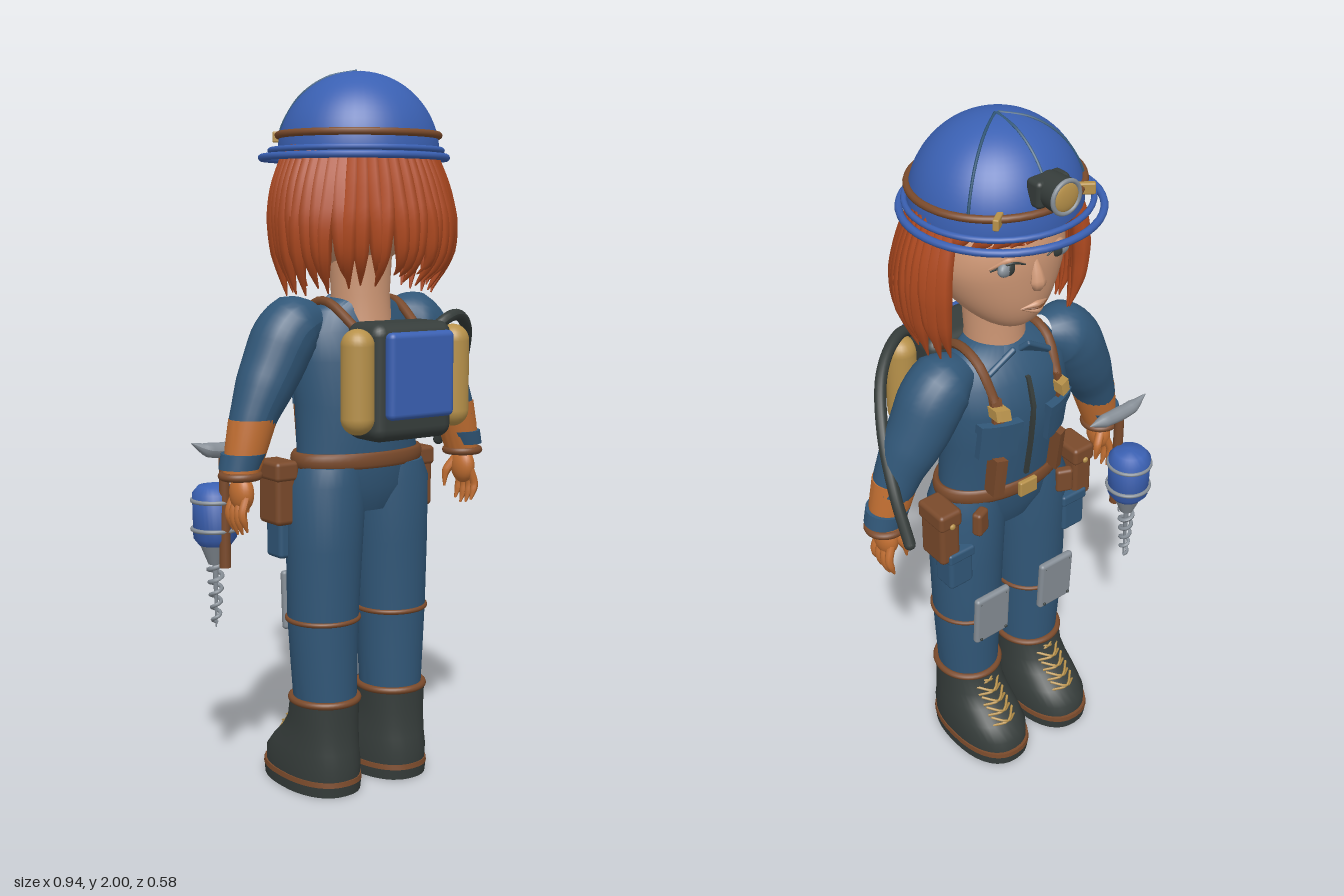
import * as THREE from 'three';
import { toCreasedNormals } from 'three/addons/utils/BufferGeometryUtils.js';
import { RoundedBoxGeometry } from 'three/addons/geometries/RoundedBoxGeometry.js';

const mat = (name, color) => {
  const m = new THREE.MeshStandardMaterial({ color });
  m.name = name;
  return m;
};
const M = {
  helmet: mat('helmetBlue', 0x3a60b2), suit: mat('suitBlue', 0x315778), hair: mat('copperHair', 0xb04a20),
  skin: mat('skin', 0xcd9674), rubber: mat('darkRubber', 0x363d3b), leather: mat('leather', 0x7a4a2b),
  brass: mat('brass', 0xb7914a), glove: mat('gloveOrange', 0xc26f32), metal: mat('metal', 0x868e96),
};
const V = (p) => new THREE.Vector3(...p);
const SIDES = [-1, 1];

// Stack of ellipses, each [y, centreX, centreZ, radiusX, radiusZ], capped at both ends
function loft(sections, n = 32, power = 2) {
  const pos = [], idx = [];
  const bend = (v) => Math.sign(v) * Math.abs(v) ** (2 / power);
  for (const [y, cx, cz, rx, rz] of sections)
    for (let j = 0; j < n; j++) {
      const a = (j / n) * Math.PI * 2;
      pos.push(cx + bend(Math.cos(a)) * rx, y, cz + bend(Math.sin(a)) * rz);
    }
  const last = sections.length - 1, c = sections.length * n;
  for (const s of [sections[0], sections[last]]) pos.push(s[1], s[0], s[2]);
  for (let j = 0; j < n; j++) {
    const k = (j + 1) % n;
    for (let i = 0; i < last; i++) {
      const a = i * n + j, d = i * n + k;
      idx.push(a, a + n, d + n, a, d + n, d);
    }
    idx.push(c, j, k, c + 1, last * n + k, last * n + j);
  }
  const g = new THREE.BufferGeometry();
  g.setAttribute('position', new THREE.Float32BufferAttribute(pos, 3));
  g.setIndex(idx);
  return toCreasedNormals(g, 0.8);
}

// Tube along a curve whose radius follows a list of values
function taper(points, radii, seg = 14, radial = 8) {
  const curve = new THREE.CatmullRomCurve3(points.map(V));
  const g = new THREE.TubeGeometry(curve, seg, 1, radial);
  const p = g.attributes.position, v = new THREE.Vector3();
  for (let i = 0; i <= seg; i++) {
    const c = curve.getPointAt(i / seg), t = (i / seg) * (radii.length - 1), k = Math.min(Math.floor(t), radii.length - 2);
    const r = THREE.MathUtils.lerp(radii[k], radii[k + 1], t - k);
    for (let j = 0; j <= radial; j++) {
      const q = i * (radial + 1) + j;
      v.fromBufferAttribute(p, q).sub(c).multiplyScalar(r).add(c);
      p.setXYZ(q, v.x, v.y, v.z);
    }
  }
  g.computeVertexNormals();
  return g;
}

const TORSO = [[0.9, 0, -0.015, 0.19, 0.105], [0.97, 0, -0.015, 0.19, 0.115], [1.1, 0, -0.025, 0.186, 0.125],
  [1.22, 0, -0.032, 0.2, 0.13], [1.3, 0, -0.03, 0.19, 0.112], [1.355, 0, -0.02, 0.155, 0.085], [1.39, 0, -0.005, 0.08, 0.07]];

// Thin panel bent over the front of the torso
function drape(w, h, d, x, y) {
  const g = new THREE.BoxGeometry(w, h, d, 4, 8, 1).translate(x, y, 0), p = g.attributes.position;
  for (let i = 0; i < p.count; i++) {
    const py = p.getY(i), k = Math.max(0, Math.min(TORSO.length - 2, TORSO.findIndex((s) => s[0] > py) - 1));
    const a = TORSO[k], b = TORSO[k + 1], t = (py - a[0]) / (b[0] - a[0]);
    const [cz, rx, rz] = [2, 3, 4].map((m) => a[m] + (b[m] - a[m]) * t);
    p.setZ(i, p.getZ(i) + cz - rz * Math.sqrt(Math.max(0, 1 - (p.getX(i) / rx) ** 2)) - d * 0.3);
  }
  return toCreasedNormals(g, 0.6);
}

const ball = (w = 24, h = 16, ...arc) => new THREE.SphereGeometry(1, w, h, ...arc);
const cyl = (r1, r2, h, n = 28) => new THREE.CylinderGeometry(r1, r2, h, n);
const rbox = (w, h, d, r) => new RoundedBoxGeometry(w, h, d, 3, r);

export function createModel() {
  const model = new THREE.Group(), figure = new THREE.Group();
  figure.name = 'figure';
  figure.position.x = 0.02;
  model.add(figure);
  const add = (name, geo, m, pos = [0, 0, 0], scale = [1, 1, 1], rot = [0, 0, 0]) => {
    const mesh = new THREE.Mesh(geo, m);
    mesh.name = name;
    mesh.position.set(...pos);
    mesh.scale.set(...scale);
    mesh.rotation.set(...rot);
    figure.add(mesh);
    return mesh;
  };
  // Horizontal elliptical band
  const band = (name, m, x, y, z, rx, rz, tube, tall = 1) =>
    add(name, new THREE.TorusGeometry(1, tube / rx, 10, 48).rotateX(Math.PI / 2), m, [x, y, z], [rx, rx * tall, rz]);

  // Head with the jaw narrowed towards the chin
  const head = ball(40, 30), hp = head.attributes.position;
  for (let i = 0; i < hp.count; i++) {
    const t = Math.max(0, -hp.getY(i) - 0.05);
    hp.setX(i, hp.getX(i) * (1 - 0.2 * t));
    hp.setZ(i, hp.getZ(i) - 0.42 * t * t);
  }
  head.computeVertexNormals();
  add('head', head, M.skin, [0, 1.645, -0.005], [0.185, 0.2, 0.165]);
  add('neck', loft([[1.3, 0, 0, 0.09, 0.09], [1.4, 0, 0, 0.082, 0.08], [1.52, 0, 0, 0.09, 0.085]]), M.skin);
  add('nose', taper([[0, 1.67, -0.16], [0, 1.625, -0.172], [0, 1.598, -0.172], [0, 1.583, -0.155]], [0.008, 0.015, 0.022, 0.005]), M.skin);
  for (const [y, r] of [[1.545, 0.009], [1.53, 0.011]])
    add('lip', taper([[-0.042, 1.537, -0.158], [0, y, -0.172], [0.042, 1.537, -0.158]], [0.001, r, 0.001]), M.skin);
  add('mouthLine', taper([[-0.04, 1.537, -0.163], [0, 1.538, -0.18], [0.04, 1.537, -0.163]], [0.001, 0.003, 0.001]), M.leather);
  for (const s of SIDES) {
    add('eye', ball(), M.metal, [s * 0.075, 1.665, -0.146], [0.038, 0.023, 0.018], [0, s * 0.4, 0]);
    add('iris', ball(), M.rubber, [s * 0.074, 1.665, -0.156], [0.017, 0.019, 0.011], [0, s * 0.4, 0]);
    add('eyelid', taper([[s * 0.032, 1.668, -0.162], [s * 0.075, 1.69, -0.161], [s * 0.118, 1.664, -0.128]], [0.003, 0.008, 0.003]), M.skin);
    add('lashes', taper([[s * 0.034, 1.666, -0.166], [s * 0.075, 1.684, -0.167], [s * 0.118, 1.66, -0.133]], [0.002, 0.004, 0.002]), M.rubber);
    add('eyebrow', taper([[s * 0.03, 1.715, -0.158], [s * 0.08, 1.728, -0.146], [s * 0.125, 1.71, -0.115]], [0.002, 0.007, 0.002]), M.hair);
    add('ear', ball(), M.skin, [s * 0.185, 1.63, 0.01], [0.018, 0.045, 0.03]);
  }

  // Hair: a cap behind the face, then hanging locks and a swept fringe
  add('hairCap', ball(36, 20, -0.35, Math.PI + 0.7, 0, 1.95), M.hair, [0, 1.665, 0.015], [0.215, 0.18, 0.165]);
  for (let i = 0; i < 35; i++) {
    const u = (i - 17) / 17, a = u * 2.05, side = Math.abs(Math.sin(a)), wave = Math.sin(i * 2.4);
    const at = (r, y, turn) => [Math.sin(a + turn) * r * 1.03, y, Math.cos(a + turn) * r * (0.72 + 0.1 * (1 - side))];
    const end = 1.45 - 0.04 * side + 0.015 * wave, back = Math.max(0, Math.cos(a)) * 0.035;
    add('hairLock', taper([at(0.2, 1.79, 0), at(0.238 + back * 0.4, 1.67, 0), at(0.244 + back, 1.56, 0.03 * wave),
      at(0.234 + back * 0.8, 1.48, 0.05 * wave), at(0.215, end, 0.08 * wave)], [0.02, 0.024, 0.026, 0.02, 0.002], 16, 7), M.hair);
  }
  for (let i = 0; i < 9; i++) {
    const x = -0.16 + i * 0.04, z = (q) => -0.005 - 0.18 * Math.sqrt(Math.max(0.1, 1 - (q / 0.205) ** 2));
    add('fringeLock', taper([[x, 1.79, z(x) + 0.01], [x + 0.015, 1.76, z(x + 0.015)], [x + 0.04, 1.728, z(x + 0.04) + 0.005]], [0.022, 0.02, 0.002]), M.hair);
  }

  // Helmet
  add('helmetDome', ball(48, 20, 0, Math.PI * 2, 0, Math.PI / 2), M.helmet, [0, 1.775, -0.008], [0.225, 0.222, 0.213]);
  add('helmetUnderside', cyl(1, 1, 0.01, 48), M.helmet, [0, 1.775, -0.008], [0.224, 1, 0.212]);
  band('helmetBand', M.leather, 0, 1.826, -0.008, 0.223, 0.211, 0.01);
  band('brimRing', M.helmet, 0, 1.767, -0.03, 0.254, 0.252, 0.01);
  band('innerBrimRing', M.helmet, 0, 1.786, -0.02, 0.236, 0.232, 0.008);
  for (const a of [-0.95, 0, 0.95]) {
    const pts = [0.02, 0.4, 0.8, 1.2, 1.35].map((t) => [Math.sin(a) * Math.sin(t) * 0.226, 1.775 + Math.cos(t) * 0.223, -0.008 - Math.cos(a) * Math.sin(t) * 0.214]);
    add('helmetSeam', taper(pts, [0.004, 0.004], 20, 6), M.suit);
  }
  for (const s of SIDES) add('bandClip', rbox(0.05, 0.03, 0.016, 0.004), M.brass, [s * 0.135, 1.826, -0.186], [1, 1, 1], [0, s * 0.65, 0]);
  add('lampMount', rbox(0.1, 0.07, 0.05, 0.012), M.rubber, [0, 1.875, -0.205]);
  add('lampBody', cyl(0.046, 0.042, 0.07).rotateX(-Math.PI / 2), M.rubber, [0, 1.878, -0.235]);
  add('lampRim', new THREE.TorusGeometry(0.041, 0.006, 8, 28), M.metal, [0, 1.878, -0.27]);
  add('lampLens', ball(), M.brass, [0, 1.878, -0.268], [0.038, 0.038, 0.01]);

  // Torso, collar, chest pockets and braces
  add('torso', loft(TORSO, 40), M.suit);
  add('zip', drape(0.012, 0.32, 0.012, 0, 1.15), M.rubber);
  for (const s of SIDES) {
    add('collar', rbox(0.1, 0.045, 0.016, 0.006), M.suit, [s * 0.055, 1.352, -0.098], [1, 1, 1], [-0.6, s * 0.3, -s * 0.5]);
    add('brace', drape(0.026, 0.31, 0.016, s * 0.105, 1.125), M.leather);
    add('chestPocket', drape(0.095, 0.1, 0.024, s * 0.1, 1.14), M.suit);
    add('pocketFlap', drape(0.105, 0.03, 0.034, s * 0.1, 1.195), M.suit);
    add('braceBuckle', drape(0.036, 0.03, 0.045, s * 0.105, 1.245), M.brass);
    add('braceEnd', drape(0.028, 0.13, 0.05, s * 0.105, 1.03), M.leather);
    add('shoulderStrap', taper([[s * 0.105, 1.27, -0.135], [s * 0.115, 1.36, -0.08], [s * 0.115, 1.38, 0], [s * 0.1, 1.3, 0.14]], [0.013, 0.013]), M.leather);
  }
  add('hips', loft([[0.8, 0, -0.012, 0.13, 0.08], [0.87, 0, -0.012, 0.2, 0.11], [0.95, 0, -0.015, 0.2, 0.115]]), M.suit);
  band('belt', M.leather, 0, 0.947, -0.015, 0.198, 0.118, 0.012, 1.9);
  add('beltBuckle', rbox(0.06, 0.048, 0.016, 0.005), M.brass, [0, 0.947, -0.145]);

  for (const s of SIDES) {
    // Belt pouches and thigh pockets
    add('beltPouch', rbox(0.065, 0.17, 0.1, 0.014), M.leather, [s * 0.238, 0.855, -0.06]);
    add('pouchFlap', rbox(0.074, 0.055, 0.11, 0.012), M.leather, [s * 0.238, 0.92, -0.06]);
    add('pouchStud', ball(12, 8), M.brass, [s * 0.238, 0.905, -0.117], [0.009, 0.009, 0.006]);
    add('thighPocket', rbox(0.08, 0.12, 0.075, 0.012), M.suit, [s * 0.205, 0.73, -0.075]);
    add('thighPocketFlap', rbox(0.088, 0.035, 0.083, 0.008), M.suit, [s * 0.205, 0.782, -0.075]);
    add('smallPouch', rbox(0.05, 0.075, 0.03, 0.01), M.leather, [s * 0.15, 0.885, -0.125], [1, 1, 1], [0, s * 0.4, 0]);

    // Leg, strap and knee plate
    add('leg', loft([[0.24, 0.115, -0.01, 0.088, 0.092], [0.36, 0.117, -0.012, 0.094, 0.096], [0.5, 0.119, -0.014, 0.101, 0.1],
      [0.7, 0.115, -0.012, 0.108, 0.106], [0.88, 0.109, -0.01, 0.112, 0.112], [0.93, 0.1, -0.01, 0.1, 0.105]]
      .map(([y, x, ...r]) => [y, s * x, ...r])), M.suit);
    band('kneeStrap', M.leather, s * 0.119, 0.495, -0.014, 0.101, 0.1, 0.007);
    add('kneePlate', rbox(0.12, 0.17, 0.022, 0.01), M.metal, [s * 0.119, 0.525, -0.132], [1, 1, 1], [-0.05, 0, 0]);
    for (const [x, y] of [[-1, -1], [-1, 1], [1, -1], [1, 1]])
      add('plateRivet', ball(8, 6), M.rubber, [s * 0.119 + x * 0.045, 0.525 + y * 0.068, -0.143], [0.005, 0.005, 0.004]);

    // Boot with sole, welt, cuff and crossed laces
    const x = s * 0.117;
    add('boot', loft([[0.03, x, -0.073, 0.104, 0.17], [0.08, x, -0.07, 0.106, 0.17], [0.12, x, -0.055, 0.101, 0.148], [0.16, x, -0.033, 0.096, 0.122],
      [0.2, x, -0.018, 0.092, 0.105], [0.262, x, -0.01, 0.093, 0.097]], 36, 2.3), M.rubber);
    add('sole', loft([[0, x, -0.075, 0.107, 0.173], [0.03, x, -0.075, 0.109, 0.177]], 36, 2.3), M.rubber);
    add('welt', loft([[0.03, x, -0.075, 0.11, 0.178], [0.044, x, -0.075, 0.108, 0.176]], 36, 2.3), M.leather);
    band('bootCuff', M.leather, x, 0.263, -0.01, 0.093, 0.097, 0.01);
    for (let i = 0; i < 5; i++) {
      const y = 0.135 + i * 0.025, z = -0.198 + i * 0.023;
      for (const k of SIDES)
        add('lace', taper([[x - k * 0.04, y - 0.012, z + 0.012], [x, y, z - 0.01], [x + k * 0.04, y + 0.014, z + 0.022]], [0.004, 0.004], 8, 6), M.brass);
    }

    // Sleeve, glove gauntlet and hand
    add('sleeve', taper([[s * 0.13, 1.335, -0.03], [s * 0.21, 1.305, -0.033], [s * 0.275, 1.2, -0.03], [s * 0.33, 1.1, -0.02], [s * 0.36, 1.03, -0.015]],
      [0.05, 0.088, 0.09, 0.085, 0.078, 0.066, 0.058], 24, 24), M.suit);
    add('gauntlet', loft([[0.93, s * 0.382, -0.014, 0.05, 0.048], [1, s * 0.364, -0.014, 0.06, 0.056], [1.075, s * 0.342, -0.016, 0.068, 0.062]]), M.glove);
    add('cuffBand', loft([[0.945, s * 0.388, -0.014, 0.056, 0.055], [0.985, s * 0.374, -0.014, 0.061, 0.06]]), M.suit);
    band('wristStrap', M.leather, s * 0.385, 0.925, -0.014, 0.05, 0.048, 0.011);
    add('palm', ball(), M.glove, [s * 0.384, 0.878, -0.01], [0.03, 0.052, 0.042]);
    for (let i = 0; i < 4; i++) {
      const z = -0.04 + i * 0.02, d = 0.01 * Math.abs(i - 1.3);
      add('finger', taper([[s * 0.388, 0.87, z], [s * 0.402, 0.825, z * 1.15], [s * 0.397, 0.785 + d, z * 1.2], [s * 0.388, 0.76 + d, z * 1.2]], [0.012, 0.012, 0.011, 0.003]), M.glove);
    }
    add('thumb', taper([[s * 0.375, 0.9, -0.03], [s * 0.35, 0.86, -0.045], [s * 0.343, 0.815, -0.045]], [0.014, 0.013, 0.003]), M.glove);

    // Pack cylinders
    add('gasBottle', new THREE.CapsuleGeometry(0.045, 0.19, 8, 24), M.brass, [s * 0.16, 1.18, 0.208]);
  }

  // Backpack and hose
  add('packBody', rbox(0.265, 0.315, 0.15, 0.035), M.rubber, [0, 1.175, 0.178]);
  add('packPanel', rbox(0.215, 0.23, 0.036, 0.016), M.helmet, [0, 1.195, 0.267]);
  add('hose', taper([[0.09, 1.3, 0.2], [0.14, 1.335, 0.205], [0.21, 1.34, 0.17], [0.29, 1.3, 0.11], [0.355, 1.2, 0.02], [0.388, 1.07, -0.07], [0.392, 0.94, -0.135]], [0.016, 0.016], 40, 14), M.rubber);
  add('hoseEnd', ball(14, 10), M.rubber, [0.392, 0.94, -0.135], [0.016, 0.016, 0.016]);

  // Pick held in the right hand
  add('pickHead', taper([[-0.49, 1.012, -0.09], [-0.44, 0.99, -0.09], [-0.38, 0.985, -0.09], [-0.275, 0.99, -0.09]], [0.001, 0.02, 0.022, 0.02, 0.001], 20, 12), M.metal);
  add('pickHandle', cyl(0.014, 0.016, 0.34, 14), M.leather, [-0.39, 0.83, -0.09]);

  // Drill with bands, chuck and spiral bit
  const dx = -0.39, dz = -0.143;
  add('drillBody', loft([[0.715, dx, dz, 0.045, 0.045], [0.735, dx, dz, 0.06, 0.06], [0.86, dx, dz, 0.062, 0.062], [0.88, dx, dz, 0.045, 0.045], [0.887, dx, dz, 0.01, 0.01]]), M.helmet);
  for (const y of [0.76, 0.84]) band('drillBand', M.metal, dx, y, dz, 0.062, 0.062, 0.006);
  add('drillChuck', cyl(0.044, 0.02, 0.06), M.metal, [dx, 0.69, dz]);
  add('bitCore', cyl(0.009, 0.002, 0.19, 12), M.metal, [dx, 0.575, dz]);
  const spiral = Array.from({ length: 45 }, (_, i) => {
    const a = i * 0.7, r = 0.021 - i * 0.00025;
    return [dx + Math.cos(a) * r, 0.665 - i * 0.004, dz + Math.sin(a) * r];
  });
  add('bitSpiral', taper(spiral, [0.007, 0.005], 120, 6), M.metal);
  return model;
}
